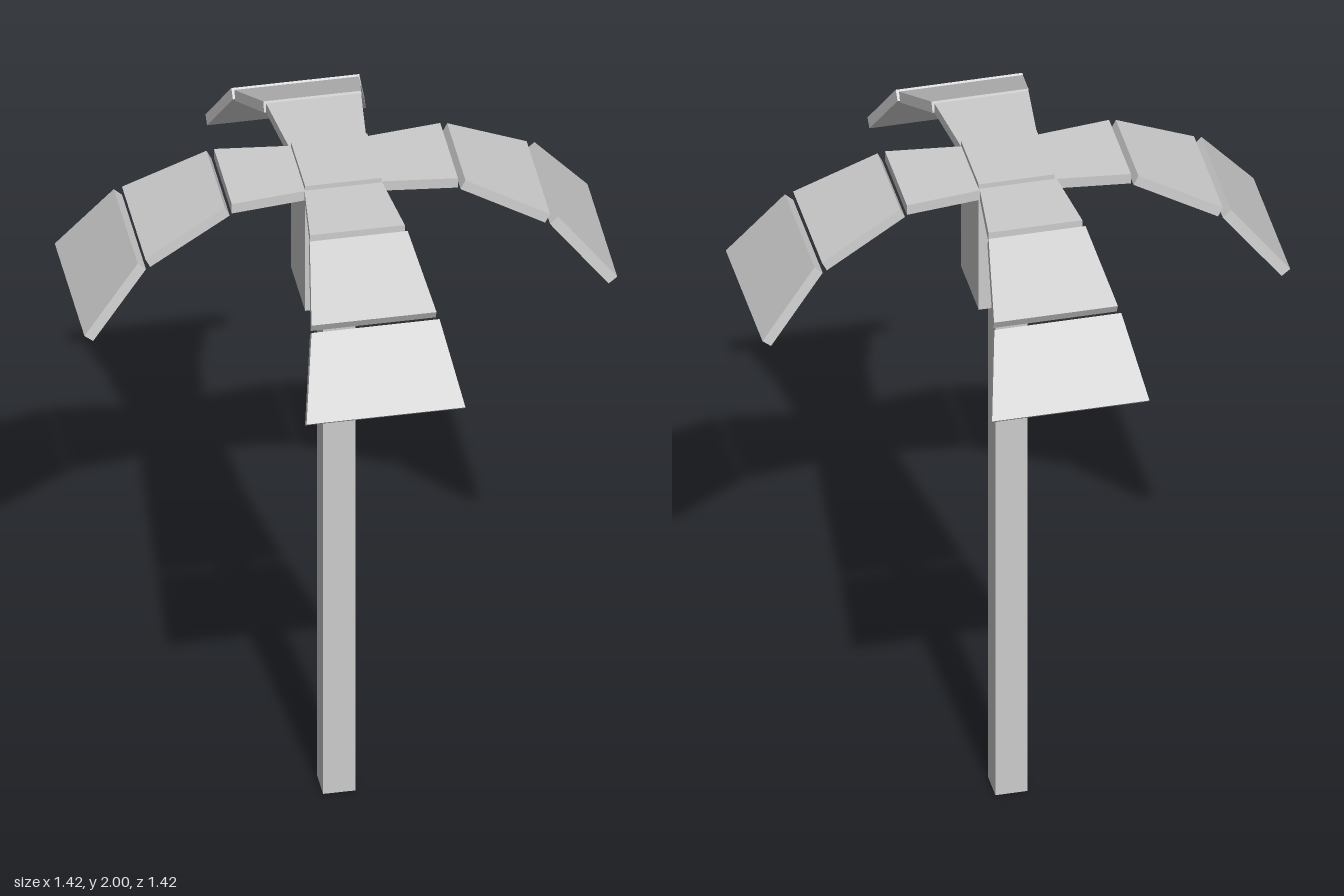
import * as THREE from 'three';

const material = new THREE.MeshStandardMaterial({ color: 0xcccccc, flatShading: true });
const openMaterial = new THREE.MeshStandardMaterial({ color: 0xcccccc, flatShading: true, side: THREE.DoubleSide });

// Frond plates, each end as [distance out, height, half width] for its top and bottom edge
const PLATES = [
  { name: 'frondBase', inner: [[0.10, 1.986], [0.10, 1.956], 0.103], outer: [[0.301, 1.986], [0.301, 1.956], 0.126] },
  { name: 'frondMiddle', inner: [[0.32, 1.98], [0.307, 1.953], 0.13], outer: [[0.538, 1.868], [0.525, 1.842], 0.166] },
  { name: 'frondTip', inner: [[0.559, 1.86], [0.537, 1.839], 0.17], outer: [[0.708, 1.676], [0.685, 1.657], 0.211] },
];

// A box whose eight corners are moved onto the plate's tapered, sloping outline
function plate({ name, inner, outer }) {
  const geometry = new THREE.BoxGeometry(2, 2, 2);
  const p = geometry.attributes.position;
  for (let i = 0; i < p.count; i++) {
    const end = p.getZ(i) > 0 ? outer : inner;
    const [z, y] = p.getY(i) > 0 ? end[0] : end[1];
    p.setXYZ(i, p.getX(i) * end[2], y, z);
  }
  geometry.computeVertexNormals();
  const mesh = new THREE.Mesh(geometry, material);
  mesh.name = name;
  return mesh;
}

export function createModel() {
  const model = new THREE.Group();
  model.name = 'palmTree';

  // Square trunk, open at the foot
  const half = 0.043;
  const trunkGeometry = new THREE.CylinderGeometry(half * Math.SQRT2, half * Math.SQRT2, 1.6, 4, 1, true);
  trunkGeometry.rotateY(Math.PI / 4);
  const trunk = new THREE.Mesh(trunkGeometry, openMaterial);
  trunk.name = 'trunk';
  trunk.position.y = 0.8;
  model.add(trunk);

  // Crown block
  const crown = new THREE.Mesh(new THREE.BoxGeometry(0.203, 0.4, 0.203), material);
  crown.name = 'crown';
  crown.position.y = 1.8;
  model.add(crown);

  // Four drooping fronds (front, left, back, right), two of them slightly off centre
  [0, 0.006, 0.004, 0].forEach((shift, i) => {
    const frond = new THREE.Group();
    frond.name = ['frontFrond', 'leftFrond', 'backFrond', 'rightFrond'][i];
    for (const spec of PLATES) {
      const mesh = plate(spec);
      mesh.position.x = shift;
      frond.add(mesh);
    }
    frond.rotation.y = i * Math.PI / 2;
    model.add(frond);
  });

  return model;
}
